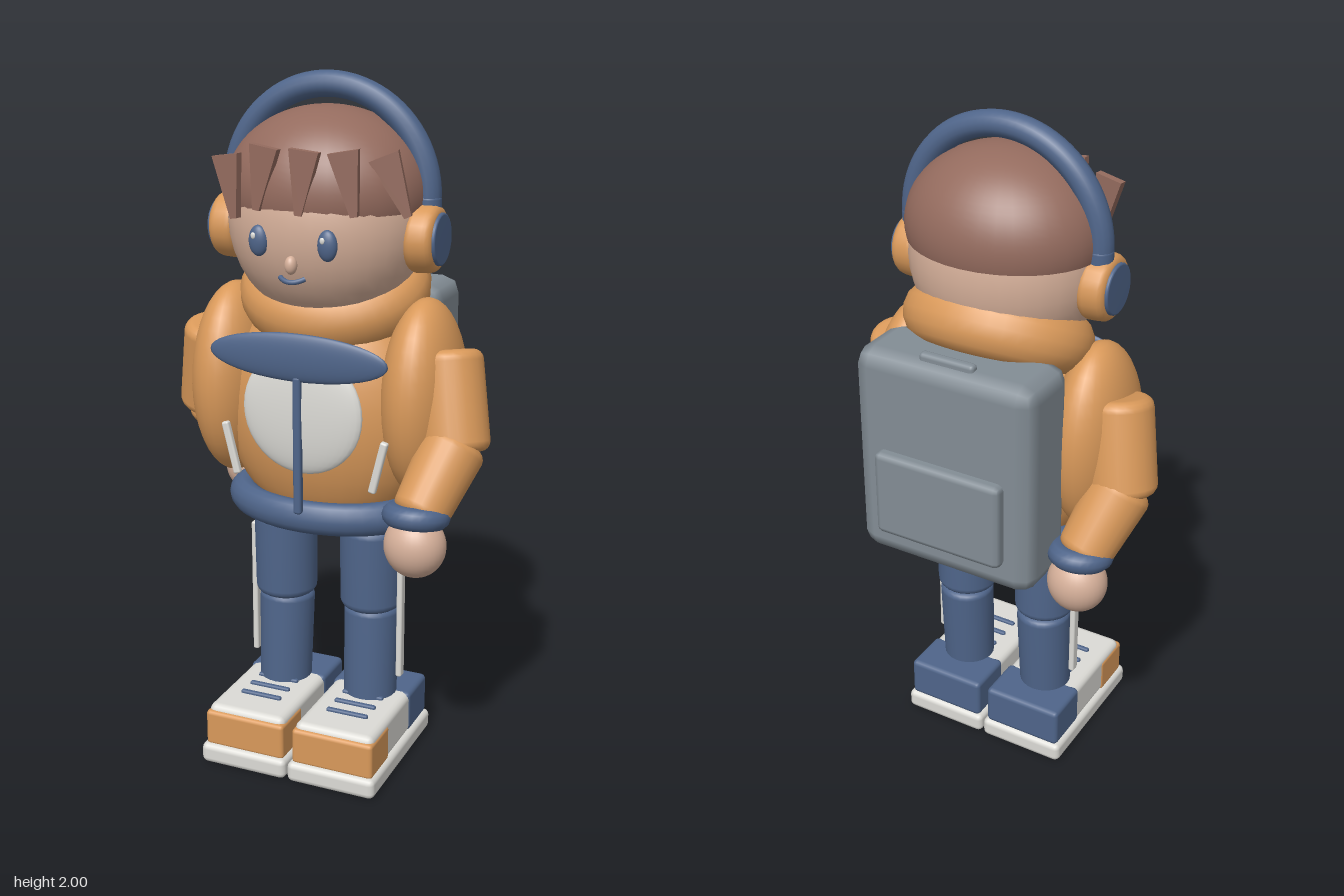
import * as THREE from 'three';
import { RoundedBoxGeometry } from 'three/addons/geometries/RoundedBoxGeometry.js';

const mat = (name, color, side = THREE.FrontSide) => {
  const m = new THREE.MeshStandardMaterial({ color, side });
  m.name = name;
  return m;
};

export function createModel() {
  const skin = mat('skin', 0xd6b09a);
  const tan = mat('jacket tan', 0xd9995a);
  const blue = mat('denim blue', 0x4f658a);
  const brown = mat('hair brown', 0x946b5e, THREE.DoubleSide);
  const white = mat('off white', 0xdcdbd6);
  const grey = mat('bag grey', 0x838d95);
  const model = new THREE.Group();
  model.name = 'traveller';

  const add = (name, geo, material, x = 0, y = 0, z = 0) => {
    const m = new THREE.Mesh(geo, material);
    m.name = name;
    m.position.set(x, y, z);
    model.add(m);
    return m;
  };
  const ball = (name, material, p, r) => {
    const m = add(name, new THREE.SphereGeometry(1, 32, 20), material, ...p);
    m.scale.set(...r);
    return m;
  };
  const box = (name, material, p, s, r = 0.015, seg = 2) =>
    add(name, new RoundedBoxGeometry(...s, seg, r), material, ...p);
  // Cylinder with softly rounded rims between two points
  const limb = (name, material, a, b, r0, r1, e = 0.025) => {
    const A = new THREE.Vector3(...a), B = new THREE.Vector3(...b);
    const h = A.distanceTo(B), pts = [new THREE.Vector2(0, 0)];
    for (let i = 0; i <= 4; i++) {
      const t = (i / 4) * Math.PI / 2;
      pts.push(new THREE.Vector2(r0 - e + e * Math.sin(t), e - e * Math.cos(t)));
    }
    for (let i = 0; i <= 4; i++) {
      const t = (i / 4) * Math.PI / 2;
      pts.push(new THREE.Vector2(r1 - e + e * Math.cos(t), h - e + e * Math.sin(t)));
    }
    pts.push(new THREE.Vector2(0, h));
    const m = add(name, new THREE.LatheGeometry(pts, 24), material, ...a);
    m.quaternion.setFromUnitVectors(new THREE.Vector3(0, 1, 0), B.sub(A).normalize());
    return m;
  };

  // Head and face
  ball('head', skin, [0, 1.6, 0.04], [0.282, 0.287, 0.246]);
  for (const s of [-1, 1]) {
    ball('eye', blue, [s * 0.1, 1.57, 0.27], [0.028, 0.042, 0.018]);
    ball('eyeGlint', white, [s * 0.1 - 0.008, 1.585, 0.286], [0.007, 0.009, 0.004]);
  }
  ball('nose', skin, [0, 1.513, 0.282], [0.017, 0.025, 0.018]);
  const smile = new THREE.QuadraticBezierCurve3(
    new THREE.Vector3(-0.036, 1.477, 0.262), new THREE.Vector3(0, 1.458, 0.29), new THREE.Vector3(0.036, 1.477, 0.262));
  add('mouth', new THREE.TubeGeometry(smile, 12, 0.007, 8), blue, 0, 0, 0.01);

  // Hair cap and fringe
  const cap = add('hair', new THREE.SphereGeometry(1, 36, 20, 0, Math.PI * 2, 0, Math.PI * 0.56), brown, 0, 1.685, 0.036);
  cap.scale.set(0.289, 0.226, 0.247);
  const lock = new THREE.Shape();
  lock.moveTo(-0.042, 0.085);
  lock.lineTo(-0.01, -0.085);
  lock.lineTo(0.01, -0.085);
  lock.lineTo(0.042, 0.085);
  lock.closePath();
  const lockGeo = new THREE.ExtrudeGeometry(lock, { depth: 0.022, bevelEnabled: false });
  [[-0.19, 1.705, 0.235, 0.15], [-0.09, 1.735, 0.257, -0.15], [0.03, 1.73, 0.264, -0.1],
    [0.15, 1.73, 0.236, 0.18], [0.25, 1.72, 0.16, 0.4]].forEach(([x, y, z, tilt]) => {
    const m = add('fringeLock', lockGeo, brown, x, y, z);
    m.rotation.z = tilt;
    m.rotation.y = x * 0.8;
  });

  // Headphones
  add('headband', new THREE.TorusGeometry(0.289, 0.036, 14, 40, Math.PI), blue, 0, 1.675, 0.025);
  for (const s of [-1, 1]) {
    limb('earCup', tan, [s * 0.25, 1.566, 0.042], [s * 0.332, 1.566, 0.042], 0.095, 0.093);
    limb('earDisc', blue, [s * 0.31, 1.566, 0.042], [s * 0.34, 1.566, 0.042], 0.072, 0.072, 0.006);
    limb('headbandEnd', blue, [s * 0.289, 1.62, 0.025], [s * 0.289, 1.68, 0.025], 0.036, 0.036, 0.01);
  }

  // Jacket
  ball('torso', tan, [0, 1.05, 0.03], [0.32, 0.36, 0.2]);
  const hood = add('hood', new THREE.TorusGeometry(0.19, 0.09, 16, 40), tan, 0, 1.4, -0.01);
  hood.rotation.x = Math.PI / 2 + 0.48;
  hood.scale.set(1, 0.85, 1);
  ball('bellyPanel', white, [0, 1.09, 0.217], [0.18, 0.18, 0.033]);
  ball('collarPanel', blue, [0, 1.252, 0.248], [0.265, 0.068, 0.018]);
  box('zip', blue, [0, 1.0, 0.248], [0.024, 0.4, 0.024], 0.008);
  const belt = add('waistband', new THREE.TorusGeometry(0.258, 0.048, 14, 40), blue, 0, 0.78, 0.035);
  belt.rotation.x = Math.PI / 2;
  belt.scale.y = 0.7;
  for (const s of [-1, 1]) {
    ball('shoulder', tan, [s * 0.292, 1.115, 0.035], [0.113, 0.285, 0.187]);
    const trim = box('pocketTrim', white, [s * 0.225, 0.955, 0.21], [0.022, 0.155, 0.02], 0.006);
    trim.rotation.z = -s * 0.24;
  }

  // Arms: left swings forward, right swings back
  [[1, 0.05, 0.115, 0.25, 0.255], [-1, 0.02, -0.035, -0.16, -0.175]].forEach(([s, zs, ze, zw, zh]) => {
    limb('upperArm', tan, [s * 0.365, 1.265, zs], [s * 0.412, 0.995, ze], 0.095, 0.1, 0.03);
    limb('forearm', tan, [s * 0.415, 1.03, ze], [s * 0.355, 0.84, zw], 0.092, 0.08, 0.03);
    const cuff = add('cuff', new THREE.TorusGeometry(0.062, 0.032, 12, 28), blue, s * 0.352, 0.85, zw);
    cuff.rotation.x = Math.PI / 2 - (zw - ze) * 1.3;
    ball('hand', skin, [s * 0.352, 0.765, zh], [0.087, 0.09, 0.078]);
  });

  // Backpack
  box('backpack', grey, [0, 1.08, -0.213], [0.56, 0.64, 0.225], 0.05, 1);
  box('backpackPocket', grey, [0, 0.98, -0.33], [0.4, 0.26, 0.056], 0.018, 1);
  box('backpackHandle', grey, [0, 1.4, -0.273], [0.17, 0.032, 0.03], 0.012);

  // Legs and shoes
  for (const s of [-1, 1]) {
    limb('upperLeg', blue, [s * 0.138, 0.46, 0.035], [s * 0.138, 0.722, 0.038], 0.092, 0.094);
    limb('lowerLeg', blue, [s * 0.14, 0.16, 0.045], [s * 0.138, 0.462, 0.03], 0.079, 0.083, 0.02);
    box('legStripe', white, [s * 0.235, 0.46, 0.047], [0.018, 0.42, 0.03], 0.006);
    box('sole', white, [s * 0.139, 0.036, 0.118], [0.272, 0.062, 0.475], 0.018);
    box('shoe', white, [s * 0.139, 0.122, 0.11], [0.244, 0.13, 0.44], 0.022);
    box('toeCap', tan, [s * 0.139, 0.115, 0.27], [0.25, 0.11, 0.14], 0.012);
    box('heel', blue, [s * 0.139, 0.125, -0.035], [0.25, 0.126, 0.152], 0.015);
    for (const z of [0.22, 0.16, 0.1]) box('lace', blue, [s * 0.139, 0.188, z], [0.13, 0.016, 0.016], 0.006);
  }
  return model;
}
